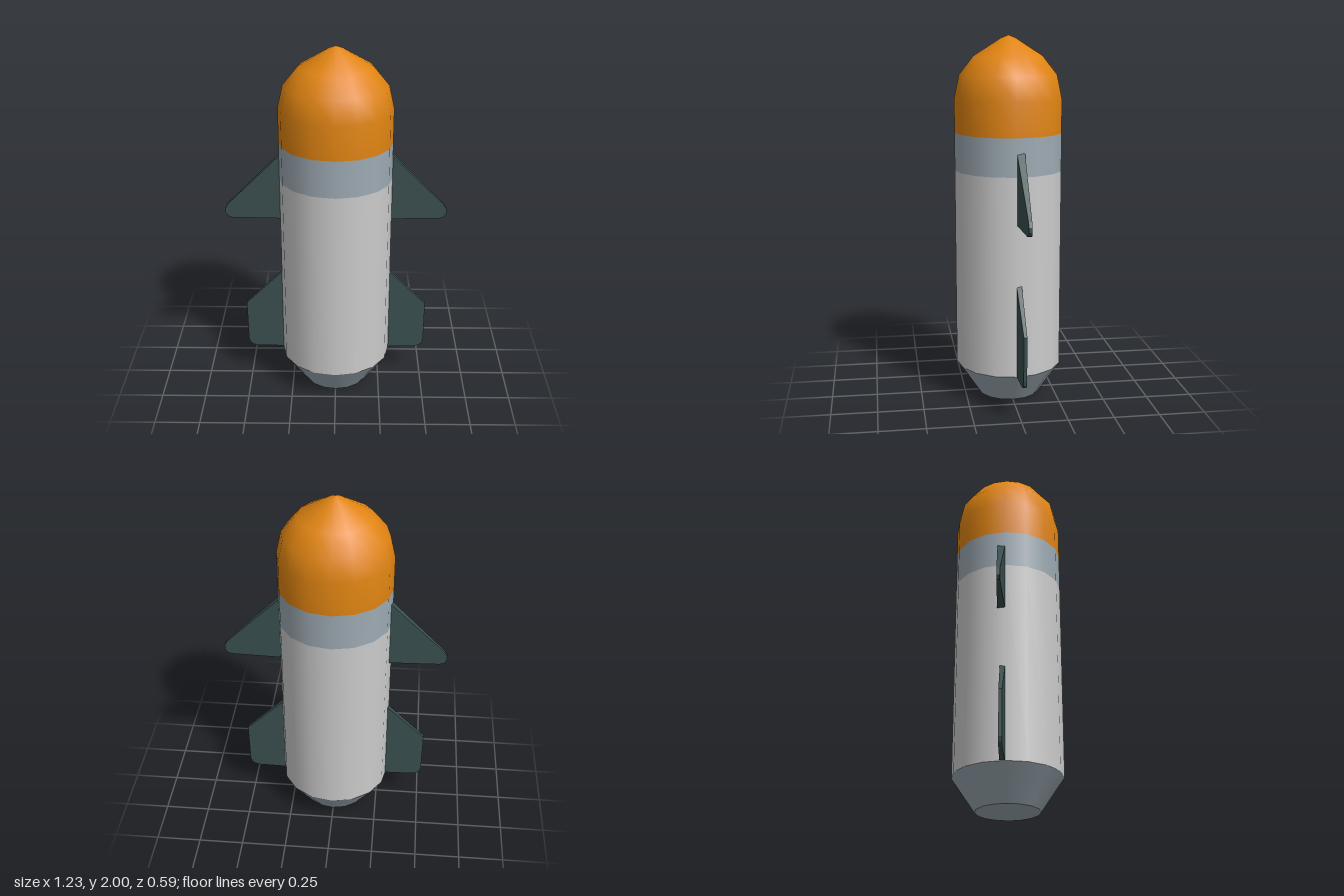
import * as THREE from 'three';

const paint = (color) => new THREE.MeshStandardMaterial({ color });

export function createModel() {
  const model = new THREE.Group();
  const white = paint(0xcccccc);
  const steel = paint(0x9daab3);
  const orange = paint(0xe08412);
  const dark = paint(0x3b5050);

  // Hull sections: 16-sided lathes, slightly narrower in depth
  const section = (name, profile, material) => {
    const points = profile.map(([r, y]) => new THREE.Vector2(r, y));
    const mesh = new THREE.Mesh(new THREE.LatheGeometry(points, 16), material);
    mesh.scale.z = 0.957;
    mesh.name = name;
    model.add(mesh);
  };
  section('nozzleBase', [[0, 0], [0.18, 0]], steel);
  section('nozzle', [[0.18, 0], [0.308, 0.18]], steel);
  section('body', [[0.308, 0.18], [0.308, 1.275]], white);
  section('collar', [[0.308, 1.275], [0.308, 1.48]], steel);
  section('noseCone', [[0.308, 1.48], [0.308, 1.665], [0.28, 1.79], [0.198, 1.89], [0.04, 1.985], [0, 2]], orange);

  // Fins: extruded outlines that get thinner towards the tip
  const fin = (name, side, outline, z, thickness, tipX, tipScale) => {
    const shape = new THREE.Shape(outline.map(([x, y]) => new THREE.Vector2(side * x, y)));
    const geometry = new THREE.ExtrudeGeometry(shape, { depth: thickness, bevelEnabled: false });
    geometry.translate(0, 0, -thickness / 2);
    const pos = geometry.attributes.position;
    for (let i = 0; i < pos.count; i++) {
      const t = (Math.abs(pos.getX(i)) - 0.3) / (tipX - 0.3);
      pos.setZ(i, pos.getZ(i) * (1 - t * (1 - tipScale)));
    }
    geometry.computeVertexNormals();
    const mesh = new THREE.Mesh(geometry, dark);
    mesh.position.z = z;
    mesh.name = name;
    model.add(mesh);
  };
  const upper = [[0.28, 1.02], [0.575, 1.02], [0.6, 1.028], [0.614, 1.05], [0.613, 1.075], [0.6, 1.1], [0.3, 1.4], [0.28, 1.42]];
  const lower = [[0.28, 0.183], [0.46, 0.183], [0.49, 0.19], [0.508, 0.208], [0.515, 0.235], [0.517, 0.475], [0.3, 0.69], [0.28, 0.71]];
  for (const [label, side] of [['left', 1], ['right', -1]]) {
    fin(label + 'UpperFin', side, upper, -0.024, 0.042, 0.614, 0.42);
    fin(label + 'LowerFin', side, lower, -0.016, 0.028, 0.517, 0.65);
  }
  return model;
}
